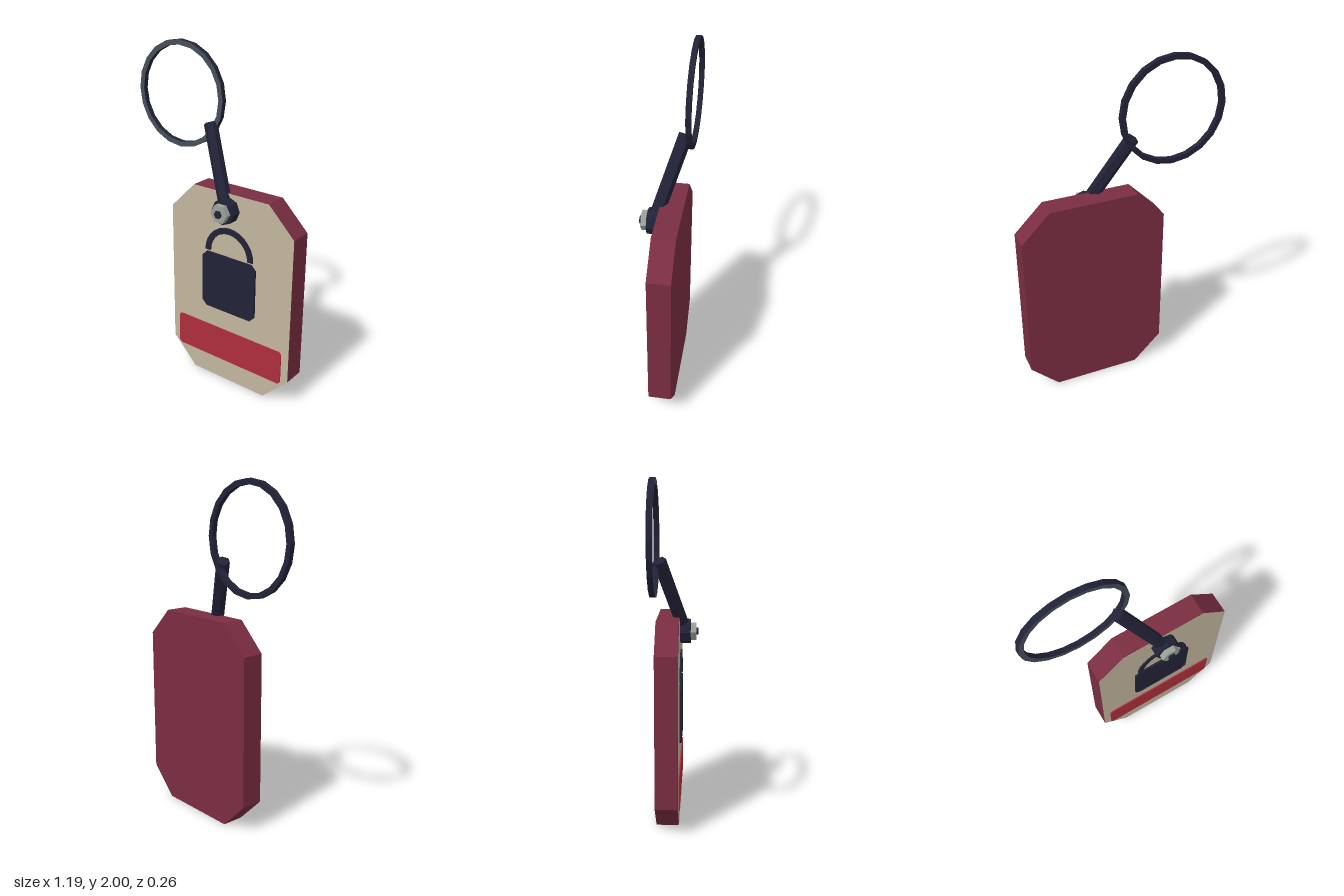
import * as THREE from 'three';

const material = (name, color) => {
  const m = new THREE.MeshStandardMaterial({ color });
  m.name = name;
  return m;
};

// Rectangle with cut corners
function chamferedRect(x0, y0, x1, y1, c) {
  return new THREE.Shape([
    [x0 + c, y0], [x1 - c, y0], [x1, y0 + c], [x1, y1 - c],
    [x1 - c, y1], [x0 + c, y1], [x0, y1 - c], [x0, y0 + c],
  ].map(([x, y]) => new THREE.Vector2(x, y)));
}

// Points along a faceted arc
function arcPoints(cx, cy, r, a0, a1, n) {
  return Array.from({ length: n + 1 }, (_, i) => {
    const a = a0 + (a1 - a0) * i / n;
    return new THREE.Vector2(cx + r * Math.cos(a), cy + r * Math.sin(a));
  });
}

function slab(shape, z0, z1) {
  const g = new THREE.ExtrudeGeometry(shape, { depth: z1 - z0, bevelEnabled: false });
  return g.translate(0, 0, z0);
}

export function createModel() {
  const model = new THREE.Group();
  const maroon = material('maroon', 0x7a2d42);
  const tan = material('tan', 0xc2b59d);
  const navy = material('navy', 0x222238);
  const red = material('red', 0xae2d3c);
  const steel = material('steel', 0x9aa298);
  const slate = material('slate', 0x454e59);

  const add = (name, geometry, mat) => {
    const flat = geometry.index ? geometry.toNonIndexed() : geometry;
    flat.computeVertexNormals();
    const mesh = new THREE.Mesh(flat, mat);
    mesh.name = name;
    model.add(mesh);
    return mesh;
  };

  // Tag body with its pale front face
  const outline = chamferedRect(-0.253, 0, 0.595, 1.22, 0.166);
  add('tagBody', slab(outline, -0.115, 0.016), maroon);
  add('tagFace', new THREE.ShapeGeometry(outline).translate(0, 0, 0.018), tan);

  // Padlock emblem and label
  add('lockBody', slab(chamferedRect(-0.017, 0.476, 0.357, 0.833, 0.03), 0.016, 0.03), navy);
  const shackle = new THREE.Shape([
    ...arcPoints(0.17, 0.845, 0.167, 0, Math.PI, 14),
    ...arcPoints(0.17, 0.845, 0.132, Math.PI, 0, 14),
  ]);
  add('lockShackle', slab(shackle, 0.016, 0.028), navy);
  add('label', slab(chamferedRect(-0.207, 0.135, 0.547, 0.346, 0.014), 0.016, 0.025), red);

  // Stacked rivet: washer, nut and bolt tip, facing forward
  const rivet = (name, r, sides, z0, z1, mat, turn) => add(name,
    new THREE.CylinderGeometry(r, r, z1 - z0, sides)
      .rotateY(turn).rotateX(Math.PI / 2)
      .translate(0.164, 1.126, (z0 + z1) / 2), mat);
  rivet('washer', 0.074, 8, 0.01, 0.08, navy, 0);
  rivet('nut', 0.056, 6, 0.08, 0.114, steel, Math.PI / 2);
  rivet('boltTip', 0.023, 6, 0.11, 0.126, navy, Math.PI / 2);

  // Leaning link from the rivet to the ring
  const low = new THREE.Vector3(0.153, 1.155, 0.036);
  const high = new THREE.Vector3(-0.056, 1.558, -0.094);
  const axis = high.clone().sub(low);
  const link = add('link', new THREE.CylinderGeometry(0.039, 0.039, axis.length(), 6), navy);
  link.quaternion.setFromUnitVectors(new THREE.Vector3(0, 1, 0), axis.normalize());
  link.position.copy(low).add(high).multiplyScalar(0.5);

  // Flat split ring with a lighter front
  const ring = new THREE.Shape(arcPoints(-0.285, 1.69, 0.31, 0, Math.PI * 2, 20).slice(0, -1));
  ring.holes.push(new THREE.Path(arcPoints(-0.285, 1.69, 0.28, 0, -Math.PI * 2, 20).slice(0, -1)));
  add('keyRing', slab(ring, -0.128, -0.099), navy);
  add('keyRingFace', new THREE.ShapeGeometry(ring).translate(0, 0, -0.097), slate);

  return model;
}
